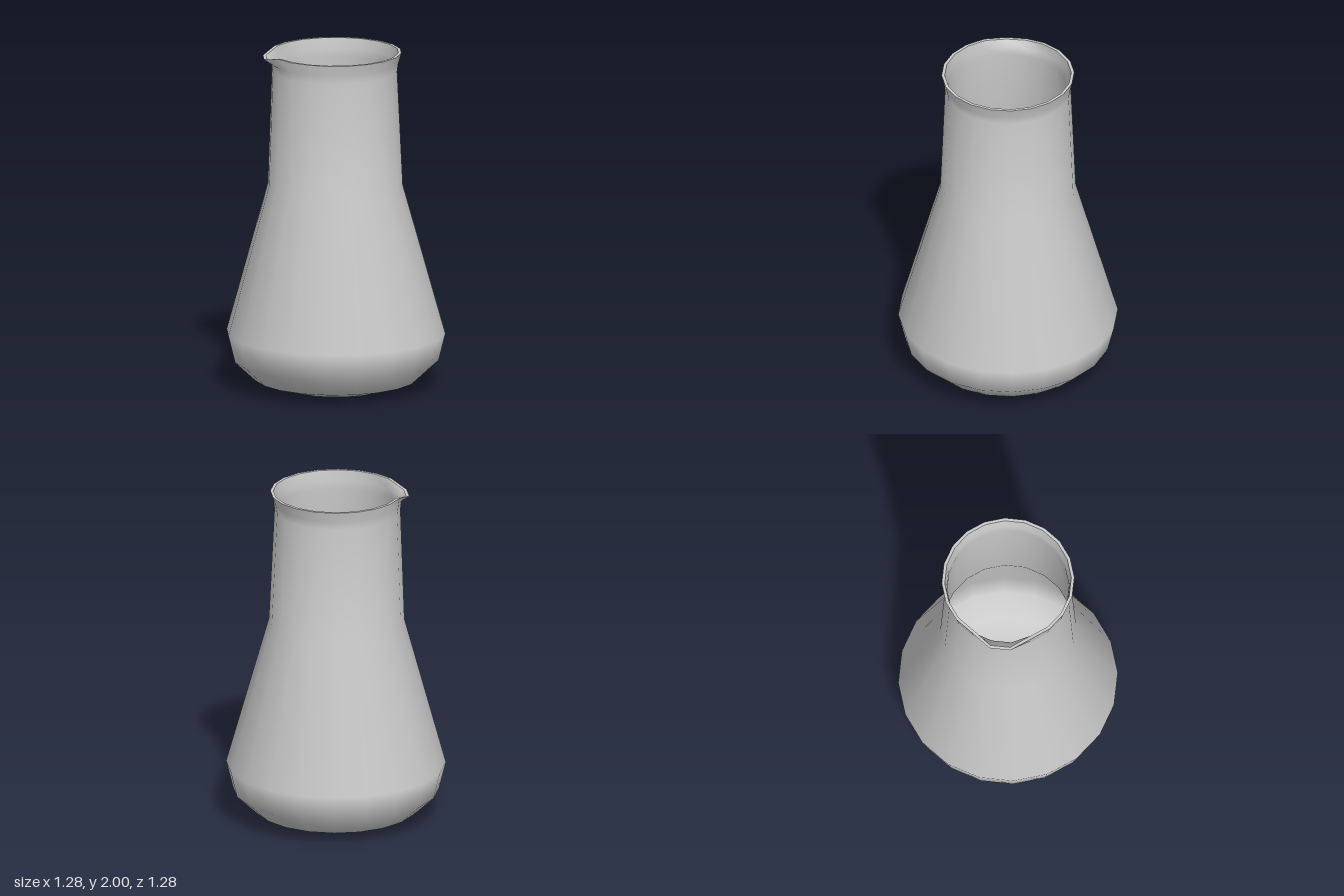
import * as THREE from 'three';
import { mergeVertices } from 'three/addons/utils/BufferGeometryUtils.js';

const SIDES = 20;

// Profiles as [radius, height]: outside runs upward, inside runs downward
const outer = [[0, 0], [0.31, 0], [0.48, 0.05], [0.603, 0.165], [0.642, 0.325],
  [0.396, 1.21], [0.368, 1.89], [0.375, 1.94], [0.388, 2]];
const inner = [[0.37, 2], [0.36, 1.94], [0.356, 1.89], [0.381, 1.21], [0.625, 0.325],
  [0.588, 0.175], [0.47, 0.065], [0.3, 0.05], [0, 0.05]];
const rim = [outer[outer.length - 1], inner[0]];

// Lean the neck slightly toward the spout and pull two rim corners out and down
function shapeSpout(geometry) {
  const p = geometry.attributes.position;
  for (let i = 0; i < p.count; i++) {
    let x = p.getX(i), y = p.getY(i), z = p.getZ(i);
    const onRim = y > 1.99;
    const inSpout = onRim && x < -0.3 && z < 0.02 && z > -0.15;
    if (y > 1.8 && !onRim) x -= 0.009;
    else if (y > 1) x -= 0.004;
    if (inSpout) {
      x -= 0.036;
      y -= 0.03;
      z -= 0.008;
    }
    p.setXYZ(i, x, y, z);
  }
}

// Turned surface with a closed, smooth seam
function turned(name, profile, material) {
  let geometry = new THREE.LatheGeometry(profile.map(([r, y]) => new THREE.Vector2(r, y)), SIDES);
  geometry.deleteAttribute('uv');
  geometry.deleteAttribute('normal');
  shapeSpout(geometry);
  geometry = mergeVertices(geometry, 1e-4);
  geometry.computeVertexNormals();
  const mesh = new THREE.Mesh(geometry, material);
  mesh.name = name;
  return mesh;
}

export function createModel() {
  const group = new THREE.Group();
  group.name = 'carafe';
  const material = new THREE.MeshStandardMaterial({ color: 0xcccccc, side: THREE.DoubleSide });
  group.add(
    turned('outerWall', outer, material),
    turned('rim', rim, material),
    turned('innerWall', inner, material),
  );
  return group;
}
